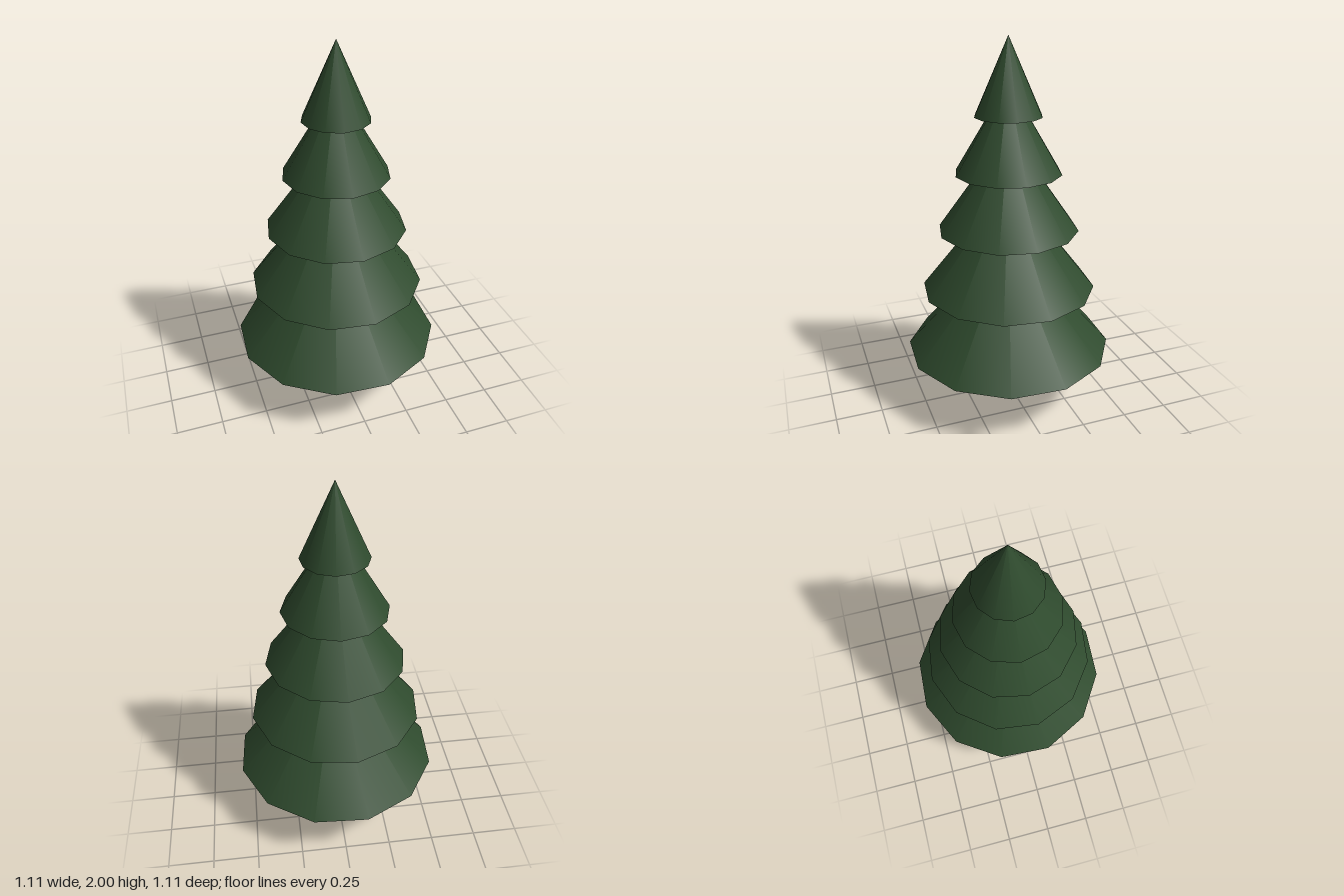
import * as THREE from 'three';

const foliage = new THREE.MeshStandardMaterial({ color: 0x2f4b2e });
foliage.name = 'pine green';
const bark = new THREE.MeshStandardMaterial({ color: 0x4a3728 });
bark.name = 'bark brown';

export function createModel() {
  const tree = new THREE.Group();
  tree.name = 'pineTree';

  // Tapered trunk, running up into the lowest tier
  const trunkHeight = 0.4;
  const trunk = new THREE.Mesh(new THREE.CylinderGeometry(0.05, 0.065, trunkHeight, 8), bark);
  trunk.name = 'trunk';
  trunk.position.y = trunkHeight / 2;
  tree.add(trunk);

  // Overlapping foliage cones: [base height, radius, cone height], each turned a little
  const tiers = [
    [0.295, 0.567, 0.635],
    [0.654, 0.473, 0.6],
    [0.993, 0.378, 0.535],
    [1.305, 0.284, 0.475],
    [1.602, 0.178, 0.398],
  ];
  tiers.forEach(([base, radius, height], i) => {
    const tier = new THREE.Mesh(new THREE.ConeGeometry(radius, height, 12), foliage);
    tier.name = `foliageTier${i + 1}`;
    tier.position.y = base + height / 2;
    tier.rotation.y = 0.2 + i * 0.45;
    tree.add(tier);
  });

  return tree;
}
